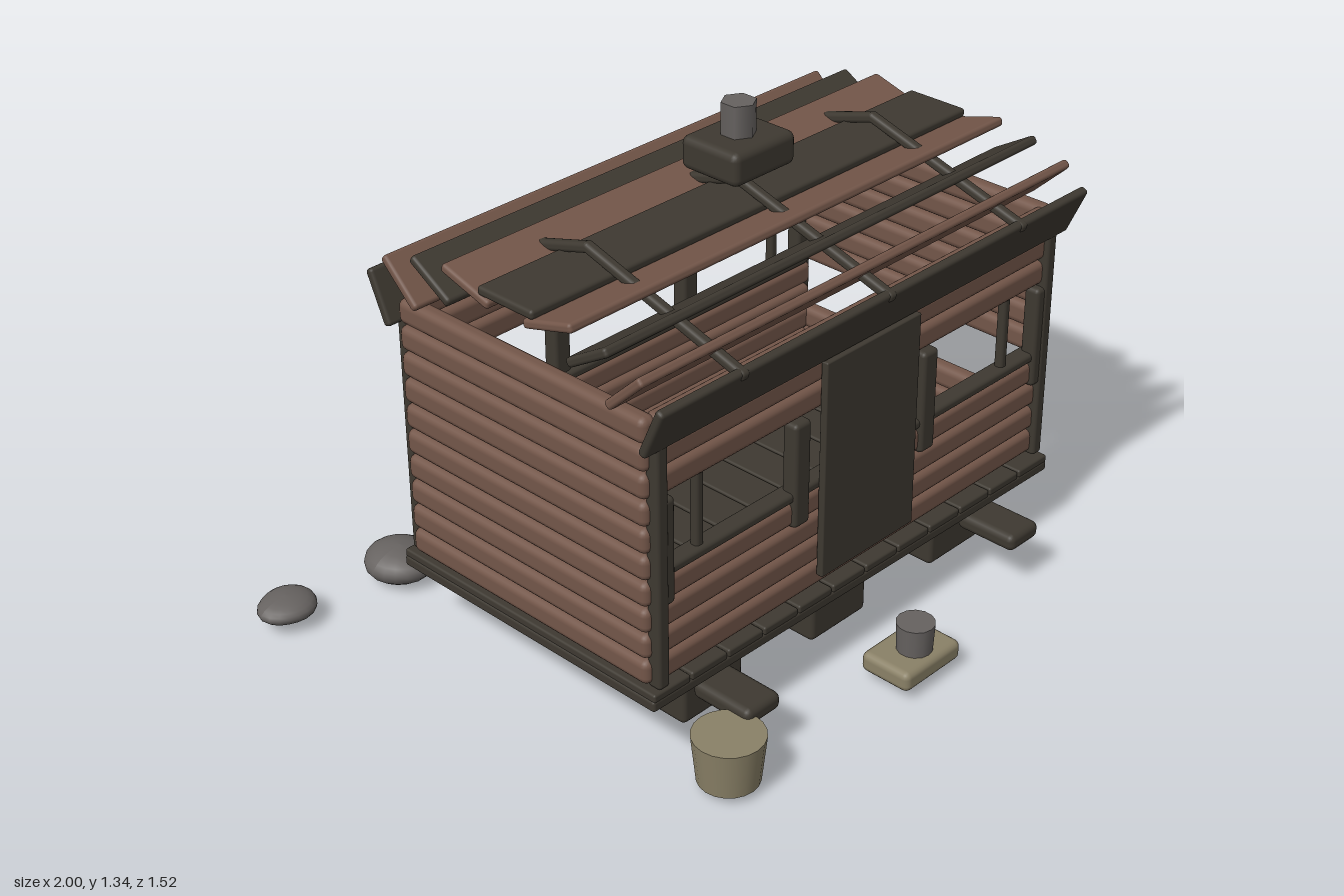
import * as THREE from 'three';
import { RoundedBoxGeometry } from 'three/addons/geometries/RoundedBoxGeometry.js';

const material = (name, color) => Object.assign(new THREE.MeshStandardMaterial({ color }), { name });

export function createModel() {
  const brown = material('weathered brown wood', 0x735649);
  const dark = material('dark wood', 0x3e3931);
  const grey = material('grey stone', 0x666260);
  const beige = material('pale clay', 0x8a8167);

  const model = new THREE.Group();
  model.name = 'cabin';
  const MIDX = -0.005, MIDZ = 0.1;

  const group = (name) => {
    const g = new THREE.Group();
    g.name = name;
    model.add(g);
    return g;
  };
  const add = (parent, name, geometry, mat, x, y, z) => {
    const mesh = new THREE.Mesh(geometry, mat);
    mesh.name = name;
    mesh.position.set(x, y, z);
    parent.add(mesh);
    return mesh;
  };
  const block = (parent, name, mat, [w, h, d], [x, y, z], radius = 0.01) =>
    add(parent, name, new RoundedBoxGeometry(w, h, d, 2, radius), mat, x, y, z);

  // Foundation: two rows of blocks with flat steps at the outer corners
  const foundation = group('foundation');
  for (const x of [-0.458, MIDX, 0.455])
    for (const z of [0.36, -0.16])
      block(foundation, 'foundationBlock', dark, [0.205, 0.16, 0.18], [x, 0.11, z], 0.015);
  for (const x of [-0.498, 0.485])
    for (const z of [0.56, -0.36])
      block(foundation, 'step', dark, [0.115, 0.047, 0.18], [x, 0.148, z], 0.018);

  // Slightly tilted floor: thin base with boards running front to back
  const floor = group('floor');
  floor.position.set(MIDX, 0.224, MIDZ);
  floor.rotation.z = -0.013;
  block(floor, 'floorBase', dark, [1.466, 0.03, 0.86], [0, -0.009, 0], 0.008);
  const boards = 12, boardWidth = 1.466 / boards;
  for (let i = 0; i < boards; i++)
    block(floor, 'floorBoard', dark, [boardWidth - 0.005, 0.022, 0.86],
      [-0.733 + (i + 0.5) * boardWidth, 0.012, 0], 0.006);

  // Log walls: full left-out rows form the windows and the broken side
  const rowY = (i) => 0.295 + i * 0.0703;
  const walls = group('walls');
  for (let i = 0; i < 10; i++) {
    block(walls, 'rightWallPlank', brown, [0.048, 0.066, 0.805], [-0.709, rowY(i), MIDZ], 0.02);
    if (i !== 2 && i !== 3)
      block(walls, 'leftWallPlank', brown, [0.048, 0.066, 0.805], [0.697, rowY(i), MIDZ], 0.02);
    if (i < 4 || i > 6)
      for (const z of [0.49, -0.29])
        block(walls, 'longWallPlank', brown, [1.39, 0.066, 0.044], [MIDX, rowY(i), z], 0.018);
  }

  // Corner posts, window posts, mullions and sills, front and back
  const frame = group('wallFrame');
  for (const side of [1, -1]) {
    const z = MIDZ + side * 0.4;
    for (const s of [-1, 1]) {
      block(frame, 'cornerPost', dark, [0.036, 0.65, 0.04], [MIDX + s * 0.692, 0.58, z + side * 0.006]);
      block(frame, 'windowEndPost', dark, [0.05, 0.28, 0.045], [MIDX + s * 0.675, 0.61, z], 0.012);
      block(frame, 'windowPost', dark, [0.055, 0.28, 0.045], [MIDX + s * 0.23, 0.61, z], 0.012);
      block(frame, 'mullion', dark, [0.026, 0.24, 0.026], [MIDX + s * 0.552, 0.645, z - side * 0.01]);
    }
    block(frame, 'windowSill', dark, [1.36, 0.026, 0.05], [MIDX, 0.553, z - side * 0.01]);
  }
  block(model, 'door', dark, [0.335, 0.585, 0.02], [-0.007, 0.592, 0.525], 0.004);

  // Roof slats, each tilted further toward the eaves: inner z, inner y, outer z, outer y
  const roof = group('roof');
  const slat = (mat, z1, y1, z2, y2, side) => {
    const length = Math.hypot(z2 - z1, y2 - y1) + 0.008;
    const mesh = block(roof, 'roofSlat', mat, [1.498, 0.024, length],
      [MIDX, (y1 + y2) / 2, MIDZ + side * (z1 + z2) / 2], 0.009);
    mesh.rotation.x = -side * Math.atan2(y2 - y1, z2 - z1);
  };
  slat(dark, -0.085, 1.104, 0.085, 1.104, 1);
  for (const side of [1, -1]) {
    slat(brown, 0.06, 1.075, 0.205, 1.117, side);
    slat(dark, 0.195, 1.03, 0.312, 1.1, side);
    slat(brown, 0.313, 0.972, 0.413, 1.068, side);
    slat(dark, 0.415, 0.892, 0.47, 1.015, side);
    // Rafters from ridge to eaves
    for (const x of [-0.497, MIDX, 0.484]) {
      const rafter = block(roof, 'rafter', dark, [0.028, 0.026, 0.515],
        [x, 1.077, MIDZ + side * 0.235], 0.01);
      rafter.rotation.x = side * 0.292;
    }
  }

  // Chimney above the ridge
  const chimney = group('chimney');
  block(chimney, 'chimneyBase', dark, [0.21, 0.086, 0.182], [MIDX, 1.222, 0.098], 0.02);
  add(chimney, 'chimneyPot', new THREE.CylinderGeometry(0.044, 0.044, 0.085, 6).toNonIndexed(),
    grey, MIDX, 1.304, 0.098);

  // Clay bucket, lamp stand and coiled hoops
  add(model, 'bucket', new THREE.CylinderGeometry(0.089, 0.076, 0.125, 20), beige, -0.618, 0.088, 0.648);
  const stand = group('stand');
  block(stand, 'standBase', beige, [0.208, 0.055, 0.148], [MIDX, 0.058, 0.68], 0.018);
  add(stand, 'standPot', new THREE.CylinderGeometry(0.049, 0.045, 0.08, 14), grey, MIDX, 0.122, 0.69);
  const hoops = group('hoops');
  [[0.1, 0.037], [0.083, 0.056]].forEach(([r, y]) => {
    add(hoops, 'hoop', new THREE.TorusGeometry(r, 0.012, 8, 24), brown, 0.39, y, 0.04).rotation.x = Math.PI / 2;
  });

  // Flattened boulders behind: x, z, y, radii x, y, z
  const rocks = group('rocks');
  [
    [-0.922, -0.585, 0.057, 0.077, 0.032, 0.073],
    [-0.592, -0.532, 0.058, 0.095, 0.046, 0.094],
    [-0.158, -0.618, 0.058, 0.132, 0.052, 0.124],
    [0.385, -0.485, 0.055, 0.106, 0.051, 0.115],
    [0.708, -0.69, 0.057, 0.069, 0.036, 0.069],
    [0.896, -0.577, 0.06, 0.1, 0.05, 0.115],
  ].forEach(([x, z, y, rx, ry, rz], k) => {
    const geo = new THREE.SphereGeometry(1, 18, 12);
    const p = geo.attributes.position;
    for (let i = 0; i < p.count; i++) {
      const v = new THREE.Vector3().fromBufferAttribute(p, i);
      const bump = 1 + 0.04 * Math.sin(3 * v.x + k * 2) + 0.04 * Math.cos(3 * v.z + v.y + k);
      p.setXYZ(i, v.x * rx * bump, v.y * ry * bump, v.z * rz * bump);
    }
    geo.computeVertexNormals();
    add(rocks, 'rock', geo, grey, x, y, z);
  });

  return model;
}
